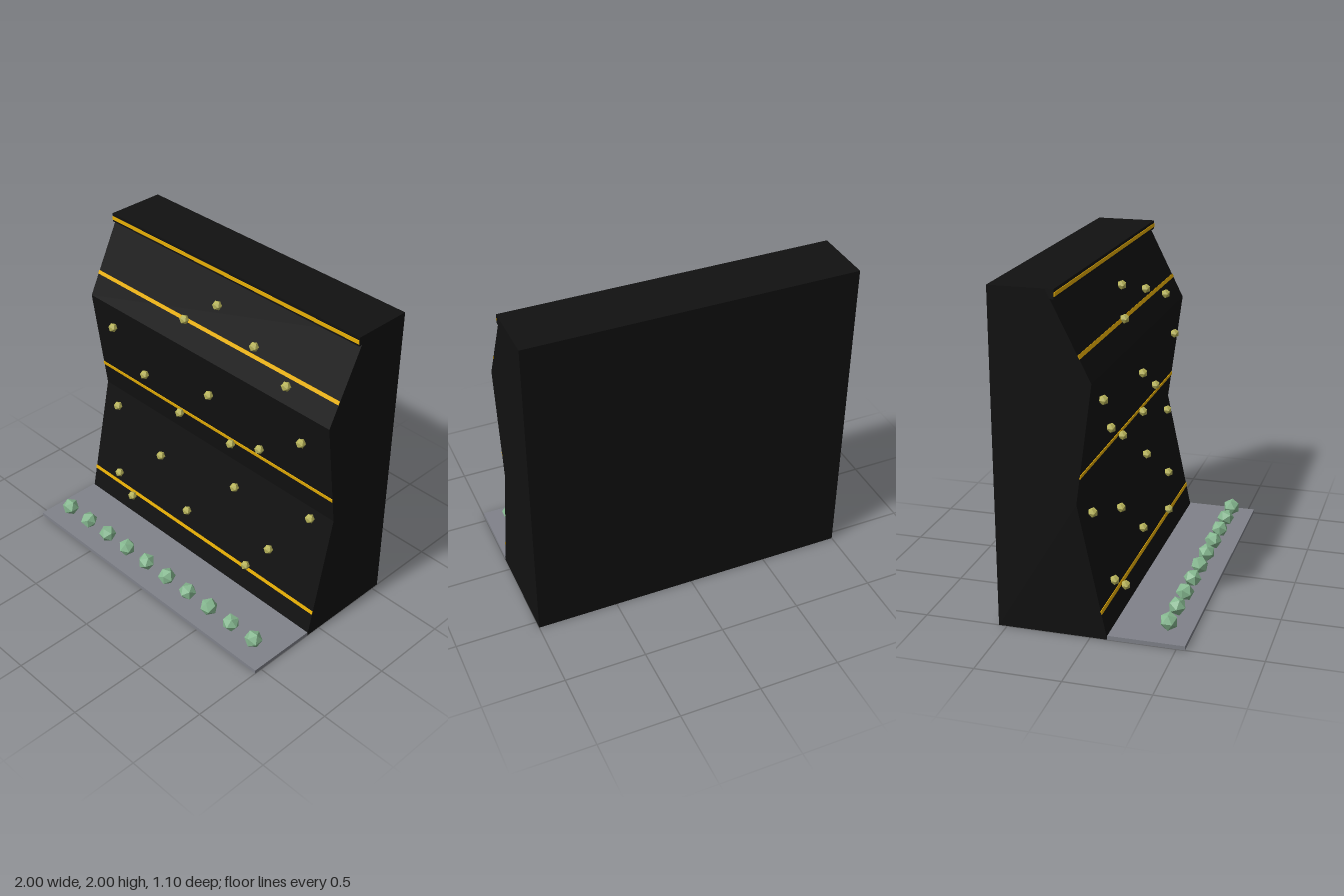
import * as THREE from 'three';

// Front face of the wall as [y, z] points, bottom to top
const FACE = [[0, 0.1], [0.8, -0.07], [1.5, 0.025], [2, -0.225]];
const BACK = -0.55;

// Depth and slope of the wall face at a height
function faceAt(y) {
  let i = 0;
  while (i < FACE.length - 2 && y > FACE[i + 1][0]) i++;
  const [y0, z0] = FACE[i], [y1, z1] = FACE[i + 1];
  const slope = (z1 - z0) / (y1 - y0);
  return { z: z0 + (y - y0) * slope, slope };
}

function material(name, color, flatShading = false) {
  const m = new THREE.MeshStandardMaterial({ color, flatShading });
  m.name = name;
  return m;
}

export function createModel() {
  const group = new THREE.Group();
  const black = material('wall black', 0x111111);
  const yellow = material('stripe yellow', 0xf2b705);
  const grey = material('mat grey', 0x80828a);
  const olive = material('hold olive', 0xb8b45a, true);
  const green = material('rock green', 0x86b890, true);

  function add(name, geometry, mat, x = 0, y = 0, z = 0) {
    const mesh = new THREE.Mesh(geometry, mat);
    mesh.name = name;
    mesh.position.set(x, y, z);
    group.add(mesh);
    return mesh;
  }

  // Wall: side profile extruded across the width
  const profile = new THREE.Shape([
    new THREE.Vector2(BACK, 0),
    ...FACE.map(([y, z]) => new THREE.Vector2(z, y)),
    new THREE.Vector2(BACK, 2),
  ]);
  const wall = new THREE.ExtrudeGeometry(profile, { depth: 2, bevelEnabled: false });
  wall.translate(0, 0, -1).rotateY(-Math.PI / 2);
  add('climbingWall', wall, black);

  // Lip along the top edge
  add('topLip', new THREE.BoxGeometry(2, 0.055, 0.075), black, 0, 1.9725, -0.2125);

  // Stripes lying on the wall face and the lip
  const stripe = new THREE.BoxGeometry(2, 0.023, 0.008);
  for (const y of [0.163, 0.963, 1.64]) {
    const { z, slope } = faceAt(y);
    add('stripe', stripe, yellow, 0, y, z).rotation.x = Math.atan(slope);
  }
  add('topStripe', stripe, yellow, 0, 1.97, -0.175);

  // Floor mat
  add('floorMat', new THREE.BoxGeometry(2, 0.025, 0.45), grey, 0, 0.0125, 0.325);

  // Climbing holds, [x, y], standing just proud of the face
  const holds = [
    [0, 1.8], [0.35, 1.7], [-0.2, 1.65], [0.65, 1.6], [-0.8, 1.35],
    [0.8, 1.3], [0.05, 1.25], [-0.55, 1.1], [0.45, 1.05], [-0.25, 0.95],
    [0.2, 0.95], [0.85, 0.75], [-0.85, 0.7], [0.25, 0.65], [-0.4, 0.55],
    [0.6, 0.4], [-0.1, 0.3], [-0.75, 0.25], [0.45, 0.2], [-0.6, 0.15],
  ];
  const hold = new THREE.IcosahedronGeometry(0.03, 0);
  for (const [x, y] of holds) add('hold', hold, olive, x, y, faceAt(y).z + 0.025);

  // Row of faceted rocks above the mat
  const rock = new THREE.IcosahedronGeometry(0.056, 0);
  for (let i = 0; i < 10; i++) {
    add('rock', rock, green, -0.855 + i * 0.19, 0.09, 0.42).rotation.y = i * 0.7;
  }

  return group;
}
